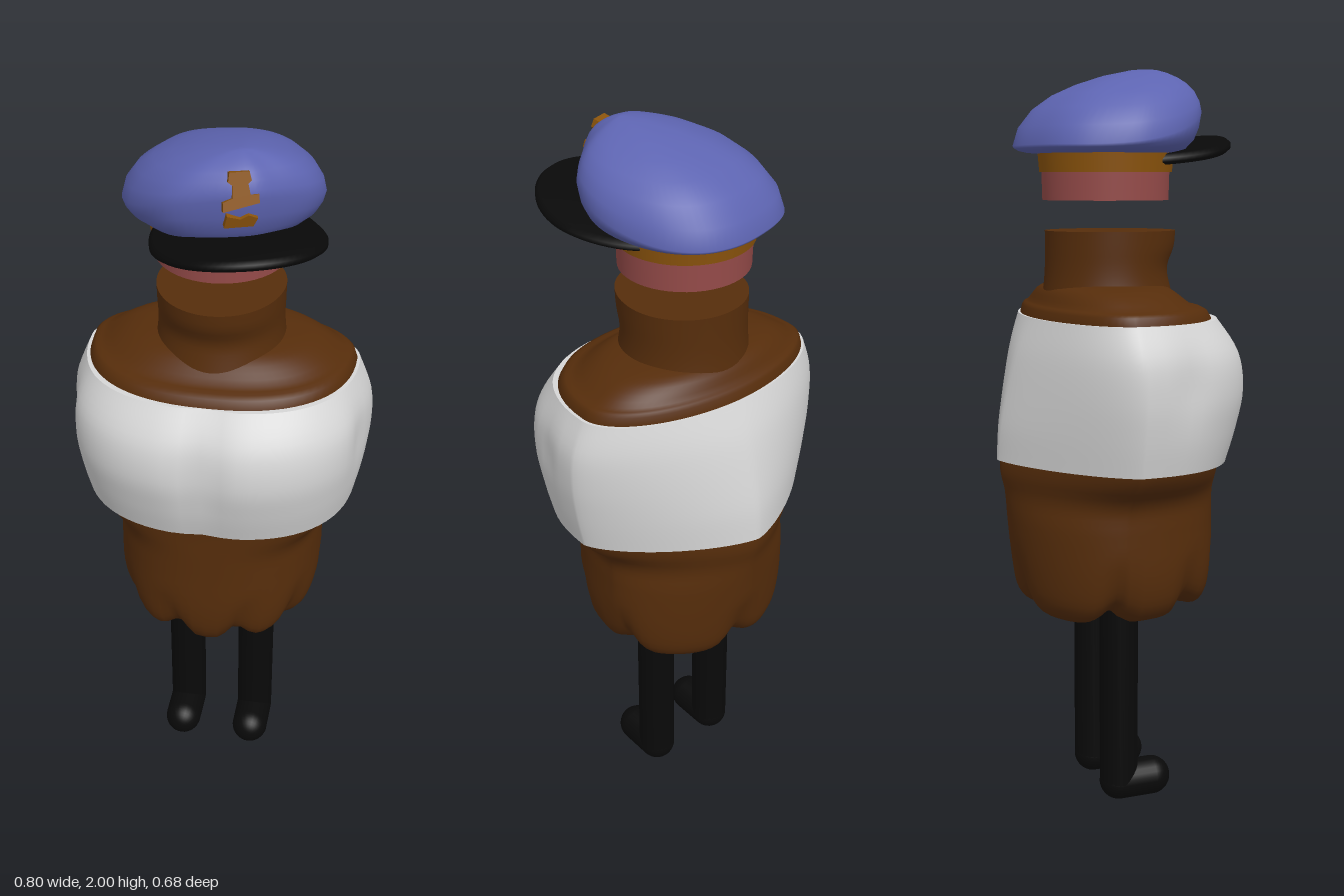
import * as THREE from 'three';

const SEG = 72;

function material(name, color, double) {
  const m = new THREE.MeshStandardMaterial({ color });
  m.name = name;
  if (double) m.side = THREE.DoubleSide;
  return m;
}

// Skin closed rings (ordered bottom to top, each running from +z towards +x) and close both ends
function loft(rings) {
  const n = rings[0].length, pos = [], idx = [];
  const all = [rings[0], ...rings, rings[rings.length - 1]]; // doubled end rings keep the rims sharp
  for (const r of all) for (const p of r) pos.push(p.x, p.y, p.z);
  for (let i = 1; i < all.length - 2; i++)
    for (let j = 0; j < n; j++) {
      const k = (j + 1) % n, a = i * n + j, b = i * n + k, c = a + n, d = b + n;
      idx.push(a, b, d, a, d, c);
    }
  const addCap = (ring, start, up) => {
    const c = ring.reduce((s, p) => s.add(p), new THREE.Vector3()).divideScalar(n);
    const ci = pos.length / 3;
    pos.push(c.x, c.y, c.z);
    for (let j = 0; j < n; j++) {
      const a = start + j, b = start + (j + 1) % n;
      up ? idx.push(ci, a, b) : idx.push(ci, b, a);
    }
  };
  addCap(rings[0], 0, false);
  addCap(rings[rings.length - 1], (all.length - 1) * n, true);
  const g = new THREE.BufferGeometry();
  g.setAttribute('position', new THREE.Float32BufferAttribute(pos, 3));
  g.setIndex(idx);
  g.computeVertexNormals();
  return g;
}

// Smoothly resample a table of rows [y, halfWidth, front z, back z, back exponent]
function resample(rows, steps) {
  const out = [];
  const cr = (a, b, c, d, t) => {
    const m0 = (c - a) / 2, m1 = (d - b) / 2, t2 = t * t, t3 = t2 * t;
    return (2 * t3 - 3 * t2 + 1) * b + (t3 - 2 * t2 + t) * m0 + (3 * t2 - 2 * t3) * c + (t3 - t2) * m1;
  };
  const at = i => rows[Math.min(rows.length - 1, Math.max(0, i))];
  for (let i = 0; i < rows.length - 1; i++)
    for (let s = 0; s < steps; s++)
      out.push(at(i).map((v, k) => cr(at(i - 1)[k], v, at(i + 1)[k], at(i + 2)[k], s / steps)));
  out.push(at(rows.length - 1));
  return out;
}

// Egg-shaped section: full in front, tapering to a ridge at the back
function section([y, rx, zf, zb, nb], zc, nf, adjust) {
  const pts = [];
  for (let j = 0; j < SEG; j++) {
    const t = j / SEG * Math.PI * 2, s = Math.sin(t), c = Math.cos(t);
    const e = 2 / (c >= 0 ? nf : nb);
    const p = new THREE.Vector3(
      rx * Math.sign(s) * Math.abs(s) ** e, y,
      zc + ((c >= 0 ? zf : zb) - zc) * Math.abs(c) ** e);
    if (adjust) adjust(p, c);
    pts.push(p);
  }
  return pts;
}
const bump = (v, w) => Math.exp(-(v / w) * (v / w));

export function createModel() {
  const group = new THREE.Group();
  const brown = material('brown skin', 0x562d0b);
  const white = material('white cloth', 0xd6d6d6);
  const black = material('black', 0x090909);
  const blue = material('blue cloth', 0x5d64b1);
  const ochre = material('ochre trim', 0x8a530c, true);
  const pink = material('pink band', 0x954b49, true);
  const add = (name, geo, mat, parent = group) => {
    const m = new THREE.Mesh(geo, mat);
    m.name = name;
    parent.add(m);
    return m;
  };

  // Torso with lobed underside: grooves beside the belly, between the thighs and at the seat
  const torso = resample([
    [0.56, 0.13, 0.13, -0.17, 1.9], [0.56, 0.20, 0.19, -0.23, 1.9], [0.60, 0.26, 0.235, -0.275, 1.9],
    [0.68, 0.283, 0.25, -0.295, 1.8], [0.80, 0.284, 0.25, -0.31, 1.7], [0.88, 0.29, 0.25, -0.32, 1.5],
    [0.97, 0.36, 0.25, -0.333, 1.35], [1.15, 0.365, 0.26, -0.29, 1.4], [1.35, 0.352, 0.225, -0.246, 1.9],
    [1.385, 0.312, 0.17, -0.222, 2], [1.425, 0.235, 0.12, -0.195, 2], [1.44, 0.13, 0.08, -0.14, 2]], 4);
  add('torso', loft(torso.map(r => section(r, -0.07, 2.35, (p, c) => {
    const low = THREE.MathUtils.clamp((0.74 - p.y) / 0.16, 0, 1);
    const front = c > 0 ? bump(Math.abs(p.x) - 0.085 - 0.3 * Math.max(0, p.y - 0.6), 0.035) : bump(p.x, 0.045);
    const side = Math.abs(p.x) > 0.12 ? Math.max(bump(p.z - 0.12, 0.035), bump(p.z + 0.1, 0.035)) : 0;
    const notch = Math.max(front, side);
    const k = 1 - 0.08 * low * notch;
    p.x *= k;
    p.z *= k;
    p.y += low * (0.035 * notch - 0.018);
  }))), brown);

  // White wrap with chest crease and shallow side dents
  const wrap = resample([
    [0.97, 0.37, 0.268, -0.342, 1.35], [1.06, 0.388, 0.295, -0.335, 1.4], [1.16, 0.40, 0.314, -0.315, 1.5],
    [1.26, 0.395, 0.298, -0.288, 1.65], [1.35, 0.36, 0.237, -0.252, 1.9]], 5);
  add('chestWrap', loft(wrap.map(r => section(r, -0.07, 2.45, (p, c) => {
    if (c > 0) p.z -= (0.008 + 0.018 * bump(p.y - 1.18, 0.13)) * bump(p.x, 0.05);
    if (Math.abs(p.x) > 0.2)
      p.x -= Math.sign(p.x) * 0.014 * bump(p.z - 0.06, 0.05) * bump(p.y - 1.2, 0.1);
  }))), white);

  // Neck
  const neck = resample([
    [1.36, 0.18, 0.16, -0.21, 2], [1.43, 0.167, 0.14, -0.2, 2], [1.48, 0.163, 0.132, -0.196, 2],
    [1.53, 0.164, 0.152, -0.195, 2], [1.575, 0.165, 0.157, -0.195, 2]], 3);
  add('neck', loft(neck.map(r => section(r, -0.03, 2))), brown);

  // Legs with forward feet
  for (const [side, x] of [['left', 0.105], ['right', -0.105]]) {
    const leg = new THREE.Group();
    leg.name = side + 'Leg';
    leg.position.set(x, 0, -0.035);
    add(side + 'Shin', new THREE.CapsuleGeometry(0.053, 0.55, 10, 24), black, leg).position.y = 0.333;
    const foot = add(side + 'Foot', new THREE.CapsuleGeometry(0.053, 0.097, 10, 24), black, leg);
    foot.rotation.x = Math.PI / 2;
    foot.position.set(0, 0.055, 0.048);
    group.add(leg);
  }

  // Head bands under the cap
  add('headBand', new THREE.CylinderGeometry(0.17, 0.168, 0.077, 48, 1, true), pink).position.set(0, 1.693, -0.033);
  add('capBand', new THREE.CylinderGeometry(0.181, 0.176, 0.06, 48, 1, true), ochre).position.set(-0.002, 1.757, -0.033);

  // Cap crown, leaning back from a peak above the badge
  const yaw = 0.34;
  const outline = new THREE.CatmullRomCurve3([
    [0, 0.215], [0.11, 0.2], [0.17, 0.15], [0.235, 0.08], [0.255, 0], [0.24, -0.09], [0.19, -0.19], [0.12, -0.25],
    [0.04, -0.27], [-0.05, -0.258], [-0.15, -0.22], [-0.205, -0.16], [-0.242, -0.05], [-0.238, 0.02],
    [-0.2, 0.11], [-0.1, 0.2]].map(([x, z]) => new THREE.Vector3(x, 0, z)), true).getPoints(SEG).slice(0, SEG);
  const rim = outline.map(p => {
    const f = p.z * Math.cos(yaw) + p.x * Math.sin(yaw);
    return new THREE.Vector3(p.x, 1.825 + 0.27 * f + 0.6 * f * f, p.z);
  });
  const base = rim.map(p => {
    const a = Math.atan2(p.x, p.z + 0.033);
    return new THREE.Vector3(0.178 * Math.sin(a), 1.775, 0.178 * Math.cos(a) - 0.033);
  });
  const apex = new THREE.Vector3(0.07, 2.0, 0.12);
  const crown = [[0, 0], [0.45, 0.12], [0.75, 0.35], [0.92, 0.65]].map(([out, up]) => rim.map((p, j) => {
    const q = base[j].clone().lerp(p, out);
    q.y = THREE.MathUtils.lerp(base[j].y, p.y, up);
    return q;
  }));
  for (const [s, f] of [[1, 1], [0.96, 0.77], [0.86, 0.54], [0.72, 0.36], [0.55, 0.22], [0.35, 0.1], [0.15, 0.02], [0.02, 0]])
    crown.push(rim.map(p => {
      const q = apex.clone().lerp(p, s);
      q.y = THREE.MathUtils.lerp(apex.y, p.y, f);
      return q;
    }));
  add('capCrown', loft(crown), blue);

  // Arched brim, turned with the cap
  const brimRing = (s, lift) => Array.from({ length: SEG }, (_, j) => {
    const t = j / SEG * Math.PI * 2, c = Math.cos(t);
    const x = 0.21 * s * Math.sin(t), z = 0.17 + (c > 0 ? 0.205 : 0.27) * s * c;
    return new THREE.Vector3(x, 1.765 + 0.14 * z - 0.4 * x * x + lift, z);
  });
  const brim = add('brim', loft([
    brimRing(0.1, -0.014), brimRing(0.5, -0.014), brimRing(0.95, -0.014), brimRing(1, -0.005),
    brimRing(1, 0.005), brimRing(0.95, 0.014), brimRing(0.5, 0.014), brimRing(0.1, 0.014)]), black);
  brim.position.set(0.012, 0, -0.024);
  brim.rotation.y = yaw;

  // Badge: an upright post on a foot, with a bar below
  const badge = new THREE.Group();
  badge.name = 'badge';
  badge.position.set(0.08, 1.903, 0.196);
  badge.rotation.y = yaw;
  const plate = pts => new THREE.ExtrudeGeometry(new THREE.Shape(pts.map(([x, y]) => new THREE.Vector2(x, y))),
    { depth: 0.022, bevelEnabled: false });
  const post = add('badgePost', plate([[-0.042, -0.016], [0.042, 0], [0.042, 0.02], [0.022, 0.02], [0.018, 0.045],
    [0.026, 0.052], [0.022, 0.072], [-0.024, 0.072], [-0.028, 0.05], [-0.018, 0.042], [-0.02, 0.014],
    [-0.042, 0.006]]), ochre, badge);
  post.rotation.x = -0.3;
  const bar = add('badgeBar', plate([[-0.038, -0.052], [0.03, -0.052], [0.04, -0.03], [0.018, -0.02], [0, -0.03],
    [-0.032, -0.02]]), ochre, badge);
  bar.rotation.x = 0.2;
  group.add(badge);

  return group;
}
